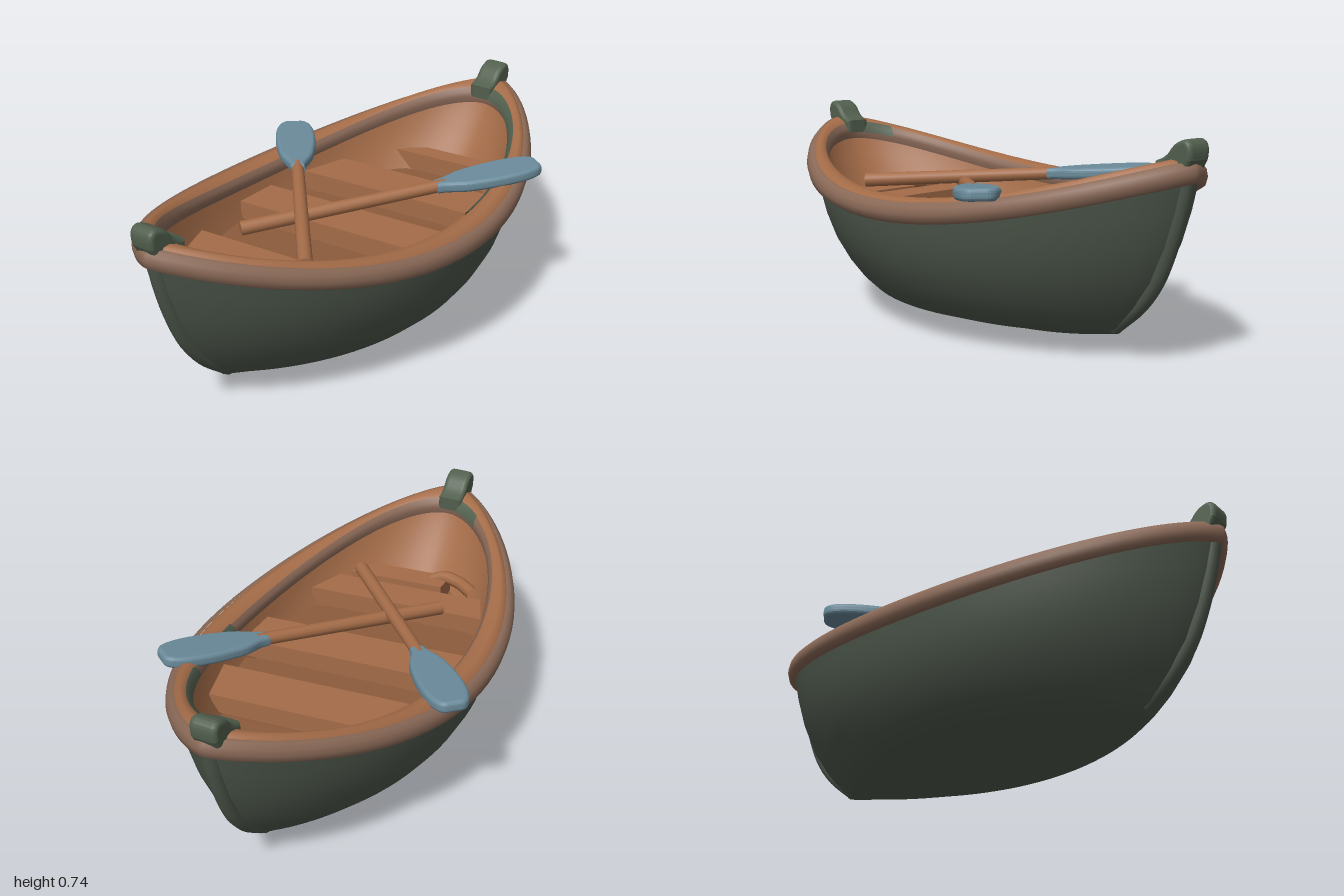
import * as THREE from 'three';

const mat = (name, color, side = THREE.FrontSide) => {
  const m = new THREE.MeshStandardMaterial({ color, side });
  m.name = name;
  return m;
};

export function createModel() {
  const green = mat('hull green', 0x4d574b);
  const postGreen = mat('post green', 0x525f4e, THREE.DoubleSide);
  const rubBrown = mat('rub rail brown', 0x8a6957);
  const wood = mat('warm wood', 0xa46c48);
  const floorWood = mat('floor wood', 0x8c5b3c);
  const blue = mat('blade blue', 0x6a8a9a);

  const model = new THREE.Group();
  model.name = 'rowboat';
  const boat = new THREE.Group();
  boat.name = 'boat';
  boat.position.z = 0.015;
  model.add(boat);

  const add = (parent, name, geometry, material) => {
    const mesh = new THREE.Mesh(geometry, material);
    mesh.name = name;
    parent.add(mesh);
    return mesh;
  };

  // Loft of pointed-oval rings, or of an arc of them;
  // each level is [halfLength, halfBeam, yMiddle, yEnds, roundness of the plan]
  const SEG = 96;
  function shell(levels, from = 0, to = Math.PI * 2) {
    const pos = [], index = [];
    const closed = to - from > 6;
    const cols = closed ? SEG : SEG + 1;
    levels.forEach(([len, beam, yMid, yEnd, power = 1.45], i) => {
      for (let j = 0; j < cols; j++) {
        const a = from + (j / SEG) * (to - from), u = Math.cos(a), s = Math.sin(a);
        pos.push(len * u, yMid + (yEnd - yMid) * u * u, beam * Math.sign(s) * Math.abs(s) ** power);
        if (i === levels.length - 1 || (!closed && j === SEG)) continue;
        const k = (j + 1) % cols, p = i * cols, q = p + cols;
        index.push(p + j, q + j, p + k, p + k, q + j, q + k);
      }
    });
    const g = new THREE.BufferGeometry();
    g.setAttribute('position', new THREE.Float32BufferAttribute(pos, 3));
    g.setIndex(index);
    g.computeVertexNormals();
    return g;
  }

  // Hull with a shallow keel and rounded bilge
  add(boat, 'hull', shell([
    [0.66, 0, 0, 0.078, 1.8],
    [0.675, 0.025, 0.003, 0.078, 1.8],
    [0.68, 0.06, 0.025, 0.08, 1.8],
    [0.69, 0.2, 0.05, 0.088, 1.7],
    [0.705, 0.31, 0.085, 0.105, 1.65],
    [0.74, 0.365, 0.135, 0.14, 1.6],
    [0.785, 0.41, 0.195, 0.19, 1.55],
    [0.85, 0.45, 0.27, 0.28, 1.5],
    [0.905, 0.472, 0.34, 0.4],
    [0.945, 0.485, 0.4, 0.52],
    [0.975, 0.495, 0.47, 0.64],
  ]), green);

  // Soft stem ridges running up both ends
  [1, -1].forEach((s) => {
    const path = [[0.655, 0.1], [0.765, 0.19], [0.835, 0.28], [0.89, 0.4], [0.928, 0.52], [0.95, 0.62]];
    const curve = new THREE.CatmullRomCurve3(path.map(([x, y]) => new THREE.Vector3(s * x, y, 0)));
    add(boat, 'stemRidge', new THREE.TubeGeometry(curve, 24, 0.03, 12), green);
  });

  // Outer rub rail, rounded wooden gunwale and its inner lip
  add(boat, 'rubRail', shell([
    [0.955, 0.48, 0.437, 0.61],
    [0.978, 0.512, 0.427, 0.605],
    [0.993, 0.529, 0.437, 0.615],
    [1.0, 0.535, 0.46, 0.64],
    [0.995, 0.53, 0.483, 0.663],
    [0.98, 0.514, 0.498, 0.677],
    [0.965, 0.5, 0.497, 0.676],
  ]), rubBrown);
  add(boat, 'gunwale', shell([
    [0.972, 0.505, 0.485, 0.665],
    [0.96, 0.493, 0.504, 0.682, 1.43],
    [0.935, 0.47, 0.51, 0.684, 1.35],
    [0.9, 0.44, 0.506, 0.672, 1.2],
    [0.88, 0.423, 0.498, 0.658, 1.12],
  ]), wood);
  add(boat, 'innerLip', shell([
    [0.88, 0.423, 0.498, 0.658, 1.12],
    [0.866, 0.412, 0.485, 0.64, 1.1],
    [0.86, 0.408, 0.467, 0.62, 1.1],
    [0.868, 0.414, 0.447, 0.595, 1.1],
  ]), rubBrown);

  // Green paint left on the lip
  [[0.08, 0.95], [1.15, 1.4], [Math.PI + 0.08, Math.PI + 0.4]].forEach(([a, b]) => add(boat, 'lipPaint', shell([
    [0.884, 0.426, 0.503, 0.664, 1.13],
    [0.862, 0.408, 0.489, 0.645, 1.1],
    [0.855, 0.403, 0.465, 0.62, 1.1],
  ], a, b), postGreen));

  // Inner skin, sloping gently at the ends, and floor
  add(boat, 'innerSkin', shell([
    [0.88, 0.425, 0.47, 0.62, 1.1],
    [0.845, 0.412, 0.42, 0.54, 1.1],
    [0.78, 0.395, 0.36, 0.45, 1.12],
    [0.7, 0.365, 0.3, 0.345, 1.15],
  ]), wood);
  add(boat, 'floor', shell([[0.735, 0.375, 0.32, 0.36, 1.15], [0.735, 0, 0.32, 0.36]]), floorWood);

  // Slightly skewed cross planks, cut to the inner beam
  const TILT = 0.1;
  const innerBeam = (x) => 0.4 * Math.max(0, 1 - (x / 0.81) ** 2) ** 0.57;
  function plank(name, x0, x1, top, thick, material, zMin = -1, zMax = 1) {
    const corner = (x, side) => {
      let z = side * innerBeam(x);
      z = side * innerBeam(x + TILT * z);
      z = Math.min(zMax, Math.max(zMin, z));
      return new THREE.Vector2(x + TILT * z, z);
    };
    const shape = new THREE.Shape([corner(x0, -1), corner(x1, -1), corner(x1, 1), corner(x0, 1)]);
    const g = new THREE.ExtrudeGeometry(shape, { depth: thick, bevelEnabled: false });
    g.rotateX(Math.PI / 2);
    g.translate(0, top, 0);
    add(boat, name, g, material);
  }
  [[-0.67, -0.57, -0.1, 0.28], [-0.53, -0.39], [-0.12, 0.06], [0.24, 0.43], [0.63, 0.71]]
    .forEach(([a, b, lo, hi]) => plank('thwart', a, b, 0.42, 0.07, wood, lo, hi));
  [[-0.38, -0.13], [0.07, 0.23], [0.44, 0.62]]
    .forEach(([a, b]) => plank('floorBoard', a, b, 0.35, 0.02, floorWood));

  // Curved rib near one end
  add(boat, 'rib', new THREE.TubeGeometry(new THREE.CatmullRomCurve3([
    new THREE.Vector3(-0.59, 0.42, -0.23),
    new THREE.Vector3(-0.64, 0.425, -0.15),
    new THREE.Vector3(-0.66, 0.42, -0.07),
    new THREE.Vector3(-0.64, 0.38, 0.0),
  ]), 16, 0.025, 8), wood);

  // Stem posts standing on the rail at both ends
  const postShape = new THREE.Shape();
  postShape.moveTo(0.865, 0.635);
  postShape.lineTo(0.955, 0.64);
  postShape.lineTo(0.98, 0.685);
  postShape.quadraticCurveTo(0.988, 0.729, 0.968, 0.729);
  postShape.quadraticCurveTo(0.935, 0.722, 0.918, 0.695);
  postShape.quadraticCurveTo(0.9, 0.672, 0.865, 0.66);
  const postGeo = new THREE.ExtrudeGeometry(postShape, {
    depth: 0.06, bevelThickness: 0.018, bevelSize: 0.015, bevelSegments: 4, curveSegments: 8,
  });
  postGeo.translate(0, 0, -0.03);
  [0, Math.PI].forEach((turn) => {
    const post = add(model, 'stemPost', postGeo, postGreen);
    post.rotation.y = turn;
    post.position.z = 0.004;
  });

  // Oars: shaft along +x from the grip, flat square-tipped blade at the far end
  const bladeShape = new THREE.Shape();
  bladeShape.moveTo(0, -0.014);
  bladeShape.bezierCurveTo(0.05, -0.02, 0.06, -0.046, 0.13, -0.054);
  bladeShape.quadraticCurveTo(0.22, -0.068, 0.3, -0.06);
  bladeShape.quadraticCurveTo(0.37, -0.05, 0.372, -0.025);
  bladeShape.lineTo(0.372, 0.025);
  bladeShape.quadraticCurveTo(0.37, 0.05, 0.3, 0.06);
  bladeShape.quadraticCurveTo(0.22, 0.068, 0.13, 0.054);
  bladeShape.bezierCurveTo(0.06, 0.046, 0.05, 0.02, 0, 0.014);
  const bladeGeo = new THREE.ExtrudeGeometry(bladeShape, {
    depth: 0.012, bevelThickness: 0.015, bevelSize: 0.014, bevelSegments: 4, curveSegments: 10,
  });
  bladeGeo.translate(0, 0, -0.006);
  bladeGeo.rotateX(Math.PI / 2);

  function oar(from, to) {
    const d = to.clone().sub(from), len = d.length(), shaft = len - 0.36;
    const g = new THREE.Group();
    g.name = 'oar';
    const shaftGeo = new THREE.CylinderGeometry(0.023, 0.026, shaft, 14);
    shaftGeo.rotateZ(-Math.PI / 2);
    shaftGeo.translate(shaft / 2, 0, 0);
    add(g, 'oarShaft', shaftGeo, wood);
    add(g, 'oarBlade', bladeGeo, blue).position.x = len - 0.386;
    g.position.copy(from);
    g.rotation.set(0, Math.atan2(-d.z, d.x), Math.asin(d.y / len));
    model.add(g);
  }
  oar(new THREE.Vector3(-0.485, 0.48, 0.215), new THREE.Vector3(0.32, 0.54, -0.522));
  oar(new THREE.Vector3(-0.38, 0.455, -0.17), new THREE.Vector3(0.525, 0.565, 0.478));

  return model;
}
